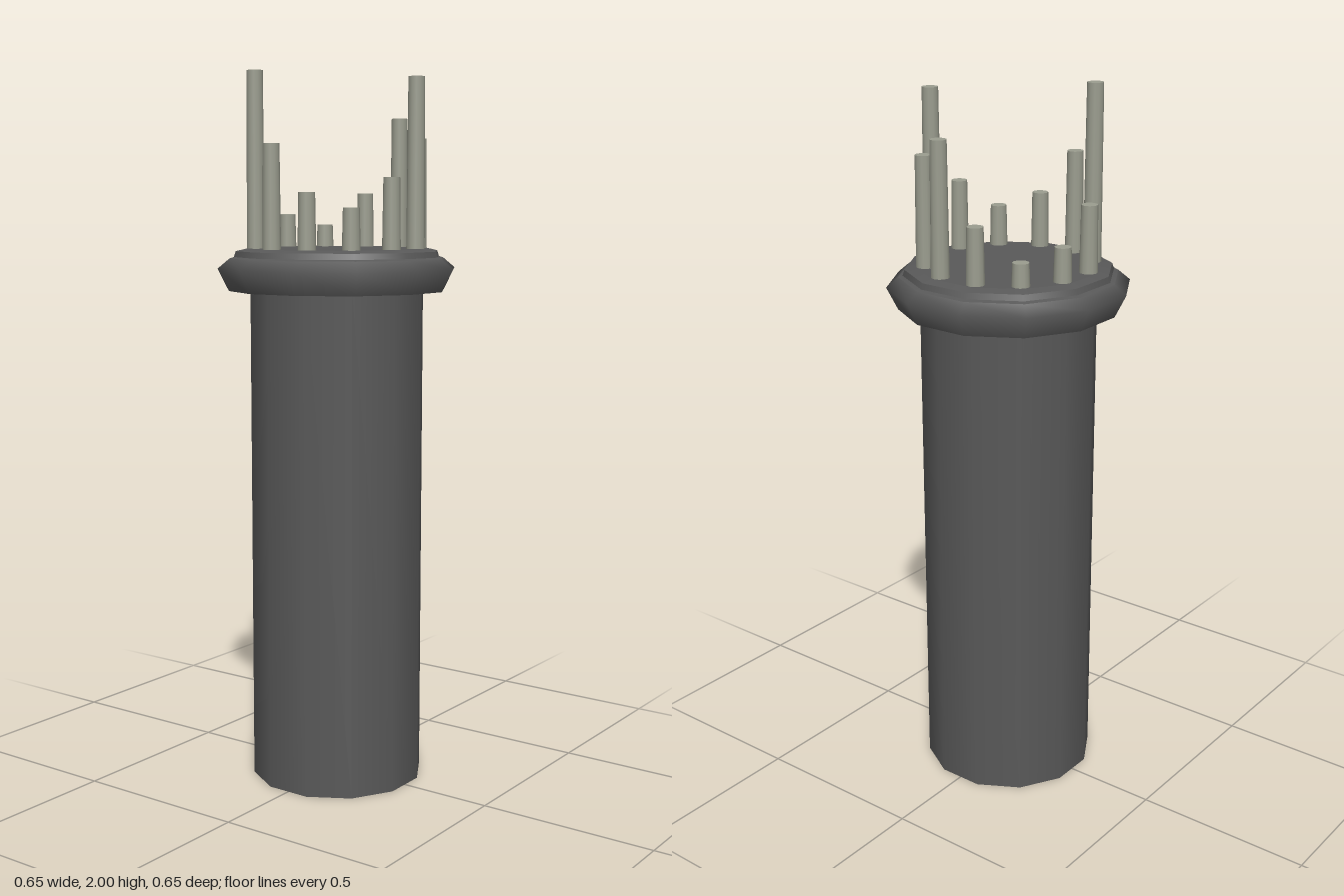
import * as THREE from 'three';

const SIDES = 12;
const STEP = Math.PI / 6;
const HALF = Math.PI / 12;
const CORNER = 1 / Math.cos(HALF); // flat-to-flat size -> corner radius

// Twelve-sided turned section; points are [flat distance, height], bottom to top
function turned(name, points, material) {
  const profile = points.map(([r, y]) => new THREE.Vector2(r * CORNER, y));
  const mesh = new THREE.Mesh(new THREE.LatheGeometry(profile, SIDES, HALF), material);
  mesh.name = name;
  return mesh;
}

export function createModel() {
  const model = new THREE.Group();
  model.name = 'pinnedColumn';

  const darkGrey = new THREE.MeshStandardMaterial({ color: 0x595959 });
  darkGrey.name = 'darkGrey';
  const paleMetal = new THREE.MeshStandardMaterial({ color: 0x9b9d8f });
  paleMetal.name = 'paleMetal';

  // Column shaft with its closed foot
  model.add(turned('shaft', [[0.237, 0], [0.237, 1.405]], darkGrey));
  model.add(turned('foot', [[0, 0], [0.237, 0]], darkGrey));

  // Flange: flat underside, bevelled rim, stepped top
  const flange = new THREE.Group();
  flange.name = 'flange';
  flange.add(
    turned('underside', [[0.23, 1.4], [0.295, 1.4]], darkGrey),
    turned('rim', [[0.295, 1.4], [0.325, 1.462], [0.293, 1.49]], darkGrey),
    turned('ledge', [[0.293, 1.49], [0.281, 1.494]], darkGrey),
    turned('step', [[0.281, 1.494], [0.276, 1.51]], darkGrey),
    turned('topBevel', [[0.276, 1.51], [0.248, 1.517]], darkGrey),
    turned('topPlate', [[0.248, 1.517], [0, 1.517]], darkGrey),
  );
  model.add(flange);

  // Ring of pins with uneven heights, from front towards the model's left
  const pinTops = [1.98, 1.82, 1.88, 1.67, 1.58, 1.61, 1.7, 2, 1.8, 1.67, 1.63, 1.71];
  const base = 1.5;
  const pins = new THREE.Group();
  pins.name = 'pins';
  pinTops.forEach((top, i) => {
    const angle = HALF + i * STEP;
    const height = top - base;
    const pin = new THREE.Mesh(new THREE.CylinderGeometry(0.0225, 0.0255, height, 12), paleMetal);
    pin.name = 'pin' + (i + 1);
    pin.position.set(0.229 * Math.sin(angle), base + height / 2, 0.229 * Math.cos(angle));
    pins.add(pin);
  });
  model.add(pins);

  return model;
}
